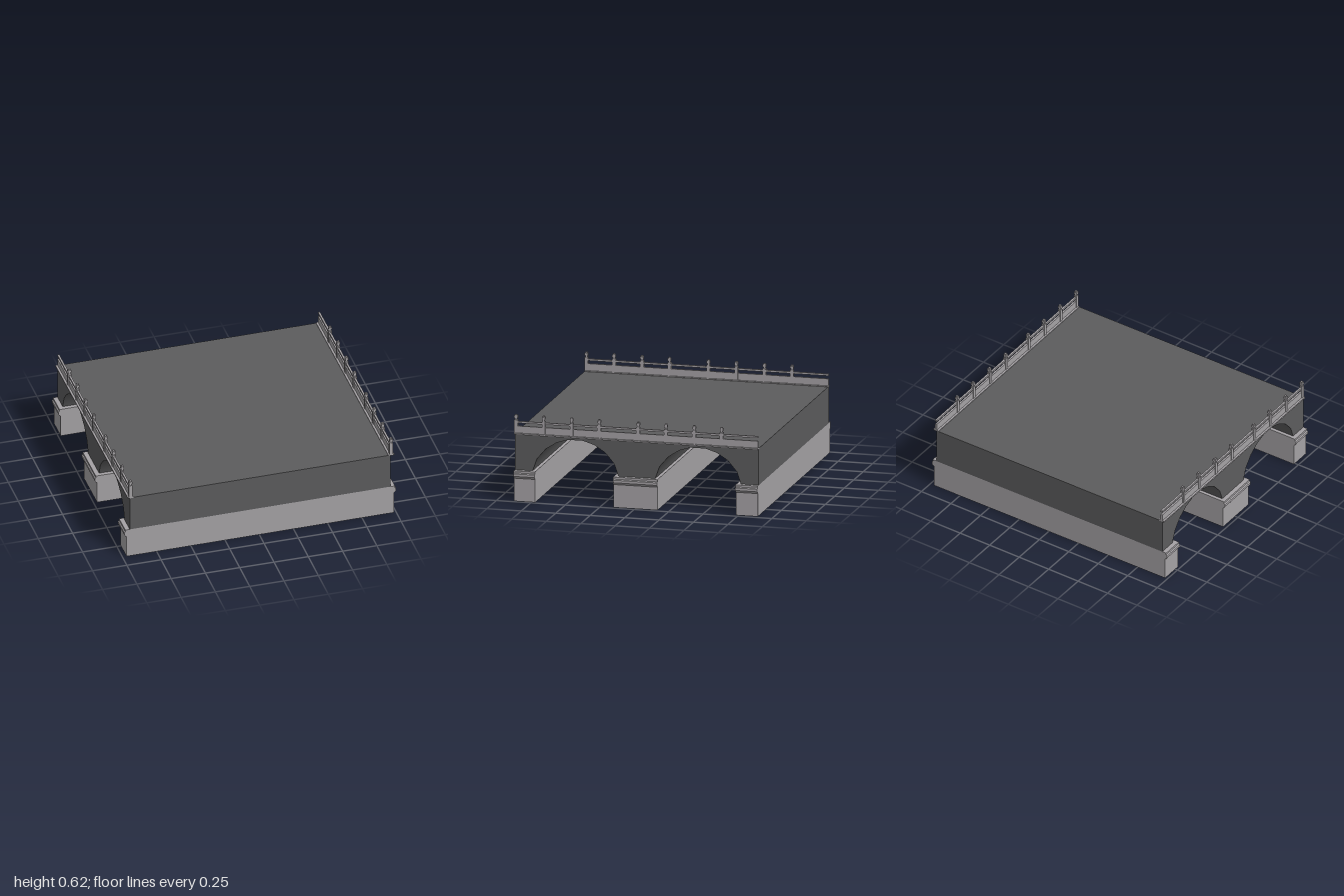
import * as THREE from 'three';
import { toCreasedNormals } from 'three/addons/utils/BufferGeometryUtils.js';

const HALF_DEPTH = 0.883;

export function createModel() {
  const root = new THREE.Group();
  root.name = 'bridge';
  const darkStone = new THREE.MeshStandardMaterial({ name: 'darkStone', color: 0x5c5c5d });
  const paleStone = new THREE.MeshStandardMaterial({ name: 'paleStone', color: 0xa5a2a5 });

  const add = (parent, name, geometry, material, x = 0, y = 0, z = 0) => {
    const mesh = new THREE.Mesh(geometry, material);
    mesh.name = name;
    mesh.position.set(x, y, z);
    parent.add(mesh);
    return mesh;
  };
  const toShape = (points) => new THREE.Shape(points.map(([x, y]) => new THREE.Vector2(x, y)));
  const extrude = (points, depth) => {
    const geometry = new THREE.ExtrudeGeometry(toShape(points), { depth, bevelEnabled: false });
    return geometry.translate(0, 0, -depth / 2);
  };

  // Deck with two faceted arches, drawn from the side and extruded across
  const archHalf = [[0.311, 0.22], [0.28, 0.308], [0.215, 0.384], [0.137, 0.434], [0.054, 0.46]];
  const arch = (centre) => [
    ...archHalf.map(([z, y]) => [centre - z, y]),
    ...archHalf.slice().reverse().map(([z, y]) => [centre + z, y]),
  ];
  const side = [
    [-HALF_DEPTH, 0.485], [-HALF_DEPTH, 0.22],
    ...arch(-0.444), ...arch(0.444),
    [HALF_DEPTH, 0.22], [HALF_DEPTH, 0.485],
  ];
  const deck = extrude(side, 1.905).rotateY(-Math.PI / 2);
  add(root, 'archedDeck', toCreasedNormals(deck, 0.6), darkStone);

  // Piers with a moulding at each end
  const pierEdge = [
    [0.976, 0], [0.976, 0.165], [0.984, 0.17], [0.993, 0.182],
    [0.993, 0.2], [0.985, 0.206], [0.985, 0.221],
  ];
  const pierProfile = [...pierEdge, ...pierEdge.slice().reverse().map(([x, y]) => [-x, y])];
  const piers = [['backPier', -0.8035, 0.159], ['middlePier', 0.003, 0.32], ['frontPier', 0.8065, 0.153]];
  for (const [name, z, depth] of piers) {
    add(root, name, extrude(pierProfile, depth), paleStone, 0, 0, z);
  }

  // Balustrades: ledge, low parapet, handrail and capped posts
  const postZ = [0.872, 0.672, 0.469, 0.27, -0.012, -0.214, -0.418, -0.617];
  const postParts = [
    ['postShaft', 0.024, 0.485, 0.585],
    ['postNeck', 0.015, 0.585, 0.6],
    ['postCap', 0.023, 0.598, 0.615],
    ['postTip', 0.015, 0.615, 0.623],
  ];
  for (const s of [-1, 1]) {
    const balustrade = new THREE.Group();
    balustrade.name = s > 0 ? 'leftBalustrade' : 'rightBalustrade';
    balustrade.position.x = s * 0.952 + 0.006;
    root.add(balustrade);
    const length = HALF_DEPTH * 2;
    add(balustrade, 'ledge', new THREE.BoxGeometry(0.044, 0.01, length), paleStone, 0, 0.485, 0);
    add(balustrade, 'parapet', new THREE.BoxGeometry(0.014, 0.052, length), paleStone, 0, 0.514, 0);
    add(balustrade, 'handrail', new THREE.BoxGeometry(0.014, 0.013, length), paleStone, 0, 0.568, 0);
    for (const z of postZ) {
      const post = new THREE.Group();
      post.name = 'post';
      post.position.z = z;
      balustrade.add(post);
      for (const [name, width, y0, y1] of postParts) {
        add(post, name, new THREE.BoxGeometry(width, y1 - y0, width), paleStone, 0, (y0 + y1) / 2, 0);
      }
    }
  }

  // The whole bridge sits very slightly turned
  root.rotation.y = 0.007;
  return root;
}
